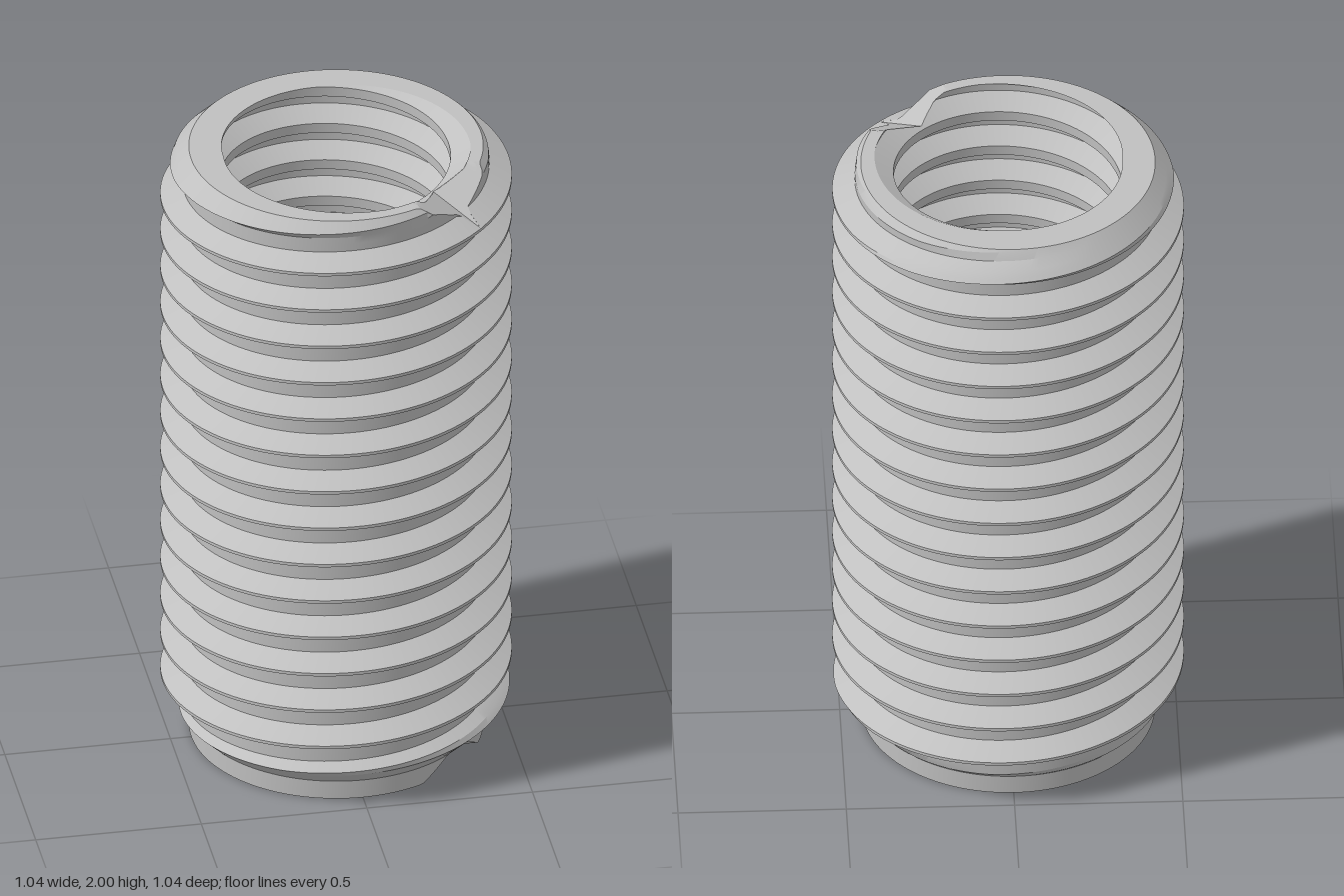
import * as THREE from 'three';
import { toCreasedNormals } from 'three/addons/utils/BufferGeometryUtils.js';

const SEG = 192, PITCH = 0.126, TURN = Math.PI * 2;
const HEX_TOP = 0.5, COLLAR = 0.06, END_R = 0.437;
const clamp = THREE.MathUtils.clamp;

// Distance along the axis from the nearest turn of a right-hand helix
function helixOffset(y, a, start) {
  const t = (y - start) / PITCH - a / TURN;
  return Math.abs(t - Math.round(t)) * PITCH;
}

// External thread radius, chamfered at both ends
const OUT_START = 0.2315;
function outerR(y, a) {
  const u = helixOffset(y, a, OUT_START);
  const r = 0.455 + 0.067 * clamp((0.039 - u) / 0.034, 0, 1);
  return Math.min(r, END_R + Math.max(0, y - COLLAR), END_R + (2 - y));
}

// Internal thread radius
const IN_START = 2 - PITCH / 8;
function innerR(y, a) {
  const u = helixOffset(y, a, IN_START);
  return 0.34 + 0.06 * clamp((0.047 - u) / 0.035, 0, 1);
}

// Hexagonal socket radius
function hexR(a) {
  const sector = Math.PI / 3;
  const t = a - Math.PI / 12;
  const local = t - Math.floor(t / sector + 1e-9) * sector - sector / 2;
  return 0.287 * Math.cos(Math.PI / 6) / Math.cos(local);
}

// End faces, each with a V notch that deepens outwards along the +x +z diagonal
function notch(r, a, edge) {
  return Math.max(0, Math.min(r * Math.sin(a), r * Math.cos(a)) - edge);
}
const topY = (r, a) => 2 - 0.57 * notch(r, a, 0.175);
const bottomY = (r, a) => 0.7 * notch(r, a, 0.19);

// Height at which a wall meets the notched top face
function wallTop(radius, a) {
  let y = 1.8;
  while (y < 2 && y < topY(radius(y, a), a)) y += 0.0005;
  return Math.min(y, 2);
}

// Height at which the outer wall meets the notched bottom face
function wallBottom(a) {
  let y = 0.2;
  while (y > 0 && y > bottomY(outerR(y, a), a)) y -= 0.0005;
  return Math.max(y, 0);
}

// Heights that follow every edge of a helical thread, limited to lo..hi
function threadHeights(a, start, offsets, lo, hi) {
  const rows = [];
  const first = Math.floor(-start / PITCH) - 2;
  for (let k = first; k < first + 20; k++) {
    for (const o of offsets) {
      rows.push(clamp(start + (k + a / TURN) * PITCH + o, lo, hi));
    }
  }
  return rows;
}

const steps = (n, from, to) =>
  Array.from({ length: n + 1 }, (_, i) => from + (to - from) * i / n);

// Sweep a profile of [radius, height] points round the axis
function sweep(profile) {
  const rings = [];
  for (let i = 0; i <= SEG; i++) {
    const a = TURN * i / SEG;
    rings.push(profile(a).map(([r, y]) =>
      new THREE.Vector3(r * Math.sin(a), y, r * Math.cos(a))));
  }
  const pos = [], ab = new THREE.Vector3(), ac = new THREE.Vector3();
  const tri = (a, b, c) => {
    ab.subVectors(b, a);
    ac.subVectors(c, a);
    if (ab.cross(ac).length() < 1e-9) return;
    for (const p of [a, b, c]) pos.push(p.x, p.y, p.z);
  };
  for (let i = 0; i < SEG; i++) {
    const p = rings[i], q = rings[i + 1];
    for (let j = 0; j < p.length - 1; j++) {
      tri(p[j], q[j], q[j + 1]);
      tri(p[j], q[j + 1], p[j + 1]);
    }
  }
  const g = new THREE.BufferGeometry();
  g.setAttribute('position', new THREE.Float32BufferAttribute(pos, 3));
  return toCreasedNormals(g, 0.35);
}

export function createModel() {
  const group = new THREE.Group();
  const steel = new THREE.MeshStandardMaterial({ color: 0xc0c0c0 });
  steel.name = 'steel';
  const add = (name, profile) => {
    const mesh = new THREE.Mesh(sweep(profile), steel);
    mesh.name = name;
    group.add(mesh);
  };

  // Plain collar under the thread
  add('collar', a => {
    const lo = wallBottom(a);
    return steps(2, lo, Math.max(lo, COLLAR)).map(y => [outerR(y, a), y]);
  });

  // External thread
  const outOffsets = [-0.039, -0.02, -0.005, 0.005, 0.02, 0.039, 0.063];
  add('outerThread', a =>
    threadHeights(a, OUT_START, outOffsets, Math.max(wallBottom(a), COLLAR), wallTop(outerR, a))
      .map(y => [outerR(y, a), y]));

  // Notched top face
  add('topFace', a => {
    const yo = wallTop(outerR, a), yi = wallTop(innerR, a);
    return steps(10, outerR(yo, a), innerR(yi, a)).map(r => [r, topY(r, a)]);
  });

  // Internal thread
  const inOffsets = [-0.047, -0.03, -0.012, 0.012, 0.03, 0.047, 0.063];
  add('innerThread', a =>
    threadHeights(a, IN_START - 15 * PITCH, inOffsets, HEX_TOP, wallTop(innerR, a))
      .reverse().map(y => [innerR(y, a), y]));

  // Ledge and hexagonal drive socket
  add('hexSocket', a => [
    [innerR(HEX_TOP, a), HEX_TOP],
    [hexR(a), HEX_TOP],
    [hexR(a), bottomY(hexR(a), a)],
  ]);

  // Notched bottom face
  add('bottomFace', a =>
    steps(10, hexR(a), outerR(wallBottom(a), a)).map(r => [r, bottomY(r, a)]));

  return group;
}
